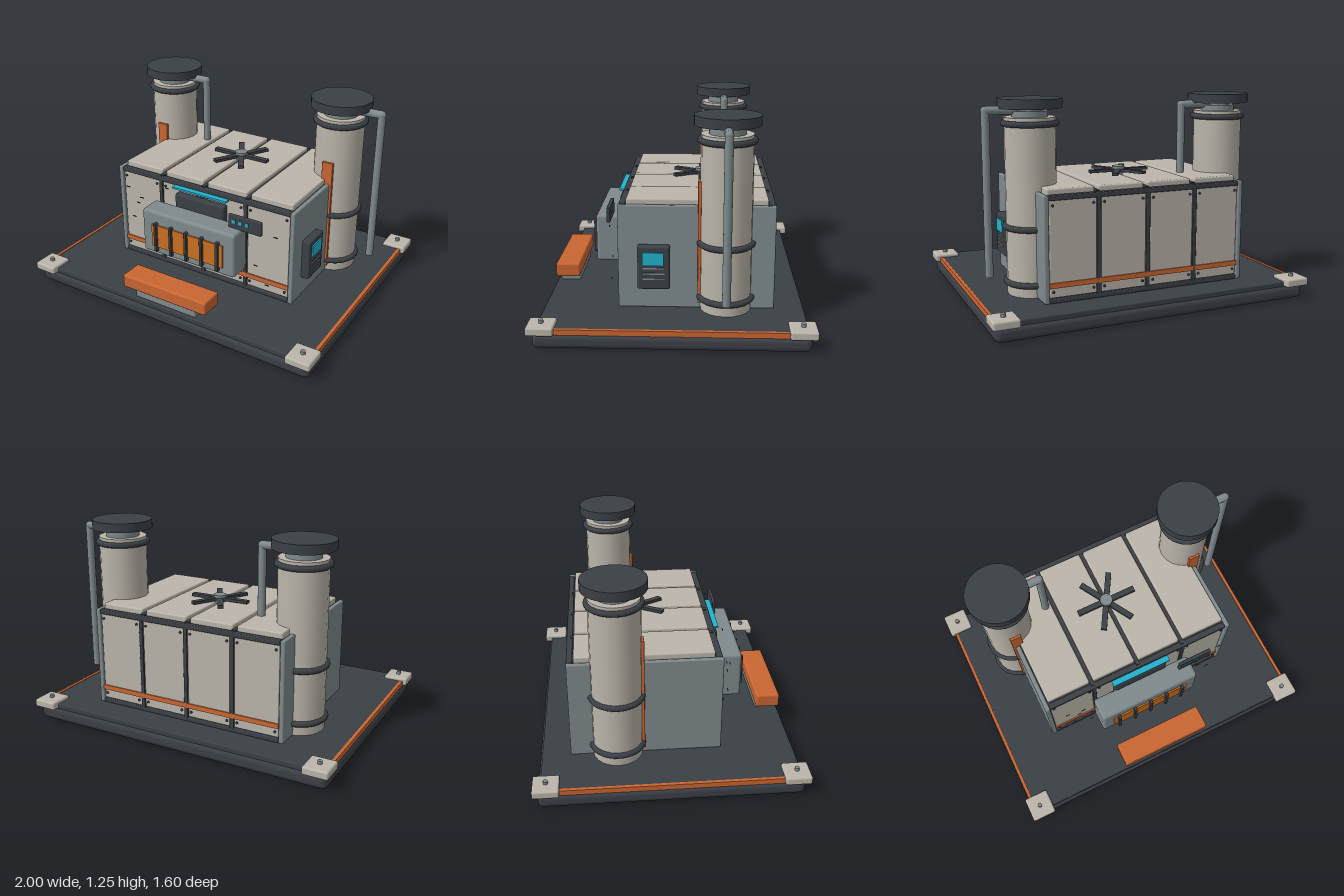
import * as THREE from 'three';
import { RoundedBoxGeometry } from 'three/addons/geometries/RoundedBoxGeometry.js';

const mat = (name, color) => {
  const m = new THREE.MeshStandardMaterial({ color });
  m.name = name;
  return m;
};

export function createModel() {
  const root = new THREE.Group();
  root.name = 'generatorStation';
  const beige = mat('panelBeige', 0xbbb5aa);
  const grey = mat('steelGrey', 0x7f8a8d);
  const dark = mat('charcoal', 0x3b4046);
  const orange = mat('safetyOrange', 0xca6632);
  const amber = mat('grilleAmber', 0xcb6f20);
  const cyan = mat('displayCyan', 0x22b2ce);

  const add = (name, geo, m, x = 0, y = 0, z = 0, parent = root) => {
    const mesh = new THREE.Mesh(geo, m);
    mesh.name = name;
    mesh.position.set(x, y, z);
    parent.add(mesh);
    return mesh;
  };
  // Box given by its min and max on each axis, optionally rounded
  const box = (name, m, [x0, x1], [y0, y1], [z0, z1], r = 0, parent = root) => {
    const s = [x1 - x0, y1 - y0, z1 - z0];
    const geo = r ? new RoundedBoxGeometry(...s, 3, r) : new THREE.BoxGeometry(...s);
    return add(name, geo, m, (x0 + x1) / 2, (y0 + y1) / 2, (z0 + z1) / 2, parent);
  };
  const cyl = (name, m, r, h, x, y, z, parent = root, seg = 24) =>
    add(name, new THREE.CylinderGeometry(r, r, h, seg), m, x, y, z, parent);

  // Base slab, deck, side rails and corner pads
  box('baseSlab', dark, [-0.98, 0.98], [0.005, 0.095], [-0.77, 0.77], 0.035);
  box('deck', dark, [-0.955, 0.955], [0.08, 0.12], [-0.755, 0.755], 0.008);
  for (const sx of [-1, 1]) {
    box('sideRail', orange, [sx * 0.963 - 0.01, sx * 0.963 + 0.01], [0.09, 0.122], [-0.66, 0.66]);
    for (const sz of [-1, 1]) {
      const px = sx * 0.922, pz = sz * 0.722;
      box('cornerPad', beige, [px - 0.077, px + 0.077], [0.09, 0.14], [pz - 0.077, pz + 0.077], 0.012);
      cyl('padBolt', grey, 0.014, 0.025, px, 0.147, pz, root, 12);
    }
  }

  // Housing core and end plates
  box('housingCore', dark, [-0.615, 0.615], [0.12, 0.73], [-0.565, 0.3]);
  for (const s of [-1, 1])
    box('endPlate', grey, [s * 0.626 - 0.015, s * 0.626 + 0.015], [0.12, 0.738], [-0.583, 0.322], 0.008);

  // Four panels on the front, back and roof
  const bolt = new THREE.CylinderGeometry(0.008, 0.008, 0.01, 8).rotateX(Math.PI / 2);
  for (let i = 0; i < 4; i++) {
    const cx = -0.465 + i * 0.31;
    const hw = 0.142;
    box('roofPanel', beige, [cx - hw, cx + hw], [0.725, 0.768], [-0.54, 0.275], 0.01);
    for (const [zc, s] of [[0.3, 1], [-0.565, -1]]) {
      box('wallPanel', beige, [cx - hw, cx + hw], [0.15, 0.71], [zc - 0.01, zc + 0.01], 0.006);
      for (const dx of [-1, 1])
        for (const y of [0.185, 0.68])
          add('panelBolt', bolt, dark, cx + dx * 0.122, y, zc + s * 0.012);
    }
  }
  // Frame bars, ribs and low orange stripes on both long walls
  for (const [zc, s] of [[0.3, 1], [-0.565, -1]]) {
    box('topBar', dark, [-0.61, 0.61], [0.708, 0.738], [zc - 0.018, zc + 0.018], 0.006);
    box('bottomBar', dark, [-0.61, 0.61], [0.12, 0.147], [zc - 0.018, zc + 0.018], 0.006);
    const zs = zc + s * 0.012;
    box('stripe', orange, [-0.61, 0.61], [0.208, 0.238], [zs - 0.006, zs + 0.006]);
    for (const x of [-0.31, 0, 0.31])
      box('wallRib', dark, [x - 0.013, x + 0.013], [0.13, 0.73], [zc - 0.018, zc + 0.018], 0.005);
  }
  for (const x of [-0.31, 0, 0.31])
    box('roofRib', dark, [x - 0.012, x + 0.012], [0.72, 0.745], [-0.56, 0.3]);

  // Roof fan
  const fan = new THREE.Group();
  fan.name = 'roofFan';
  fan.position.set(0, 0.785, -0.155);
  root.add(fan);
  cyl('fanHub', grey, 0.04, 0.05, 0, 0, 0, fan, 20);
  for (let i = 0; i < 3; i++)
    add('fanBlades', new THREE.BoxGeometry(0.39, 0.018, 0.036), dark, 0, 0, 0, fan).rotation.y = i * Math.PI / 3;

  // Front intake with grille
  box('intakeBack', dark, [-0.18, 0.18], [0.25, 0.67], [0.3, 0.352], 0.015);
  box('intakeHousing', grey, [-0.336, 0.336], [0.29, 0.585], [0.34, 0.487], 0.02);
  box('grillePlate', amber, [-0.26, 0.26], [0.345, 0.498], [0.475, 0.497]);
  for (let i = -2; i <= 2; i++)
    box('grilleBar', dark, [i * 0.1125 - 0.01, i * 0.1125 + 0.01], [0.317, 0.517], [0.485, 0.514], 0.005);
  box('lightStrip', cyan, [-0.195, 0.195], [0.702, 0.714], [0.312, 0.355]);

  // Status display with three lamps
  box('statusDisplay', dark, [0.243, 0.468], [0.578, 0.67], [0.383, 0.405], 0.006);
  for (const x of [0.283, 0.328, 0.373])
    box('statusLamp', cyan, [x - 0.011, x + 0.011], [0.618, 0.642], [0.4, 0.409]);

  // Small dark wear marks in front of the wall
  for (const [x, y] of [[-0.525, 0.64], [-0.42, 0.587], [-0.45, 0.545], [-0.49, 0.435],
    [-0.37, 0.29], [-0.22, 0.705], [0.55, 0.585], [0.42, 0.355], [0.5, 0.24]])
    box('wearMark', dark, [x - 0.013, x + 0.013], [y - 0.003, y + 0.003], [0.374, 0.378]);

  // Orange front bumper on its foot
  box('bumperFoot', grey, [-0.22, 0.22], [0.115, 0.175], [0.612, 0.737], 0.01);
  box('frontBumper', orange, [-0.3, 0.3], [0.168, 0.254], [0.603, 0.752], 0.012);

  // Control console on the left end plate
  box('console', dark, [0.635, 0.692], [0.25, 0.508], [0.02, 0.206], 0.012);
  box('consoleScreen', cyan, [0.685, 0.7], [0.396, 0.474], [0.054, 0.176]);
  for (const y of [0.314, 0.346, 0.378])
    box('consoleVent', grey, [0.688, 0.696], [y - 0.004, y + 0.004], [0.05, 0.176]);

  // Exhaust towers with bands, caps, side pipes and orange plates
  const band = new THREE.TorusGeometry(0.152, 0.018, 10, 32).rotateX(Math.PI / 2);
  for (const x of [-0.62, 0.62]) {
    const tower = new THREE.Group();
    tower.name = 'exhaustTower';
    tower.position.set(x, 0, -0.3);
    root.add(tower);
    cyl('stack', beige, 0.149, 1.03, 0, 0.635, 0, tower, 20);
    for (const y of [0.193, 0.52, 1.115]) add('stackBand', band, dark, 0, y, 0, tower);
    cyl('stackNeck', grey, 0.105, 0.06, 0, 1.155, 0, tower);
    cyl('capStem', grey, 0.075, 0.04, 0, 1.19, 0, tower);
    cyl('stackCap', dark, 0.187, 0.056, 0, 1.228, 0, tower, 32);
    cyl('pipeArm', grey, 0.025, 0.26, 0.13, 1.19, 0, tower, 16).rotation.z = Math.PI / 2;
    cyl('pipeDrop', grey, 0.024, 0.955, 0.26, 0.7125, 0, tower, 16);
    add('pipeElbow', new THREE.SphereGeometry(0.025, 16, 10), grey, 0.26, 1.19, 0, tower);
    box('stackPlate', orange, [-0.036, 0.036], [0.157, 0.88], [0.142, 0.162], 0.004, tower);
  }
  return root;
}
